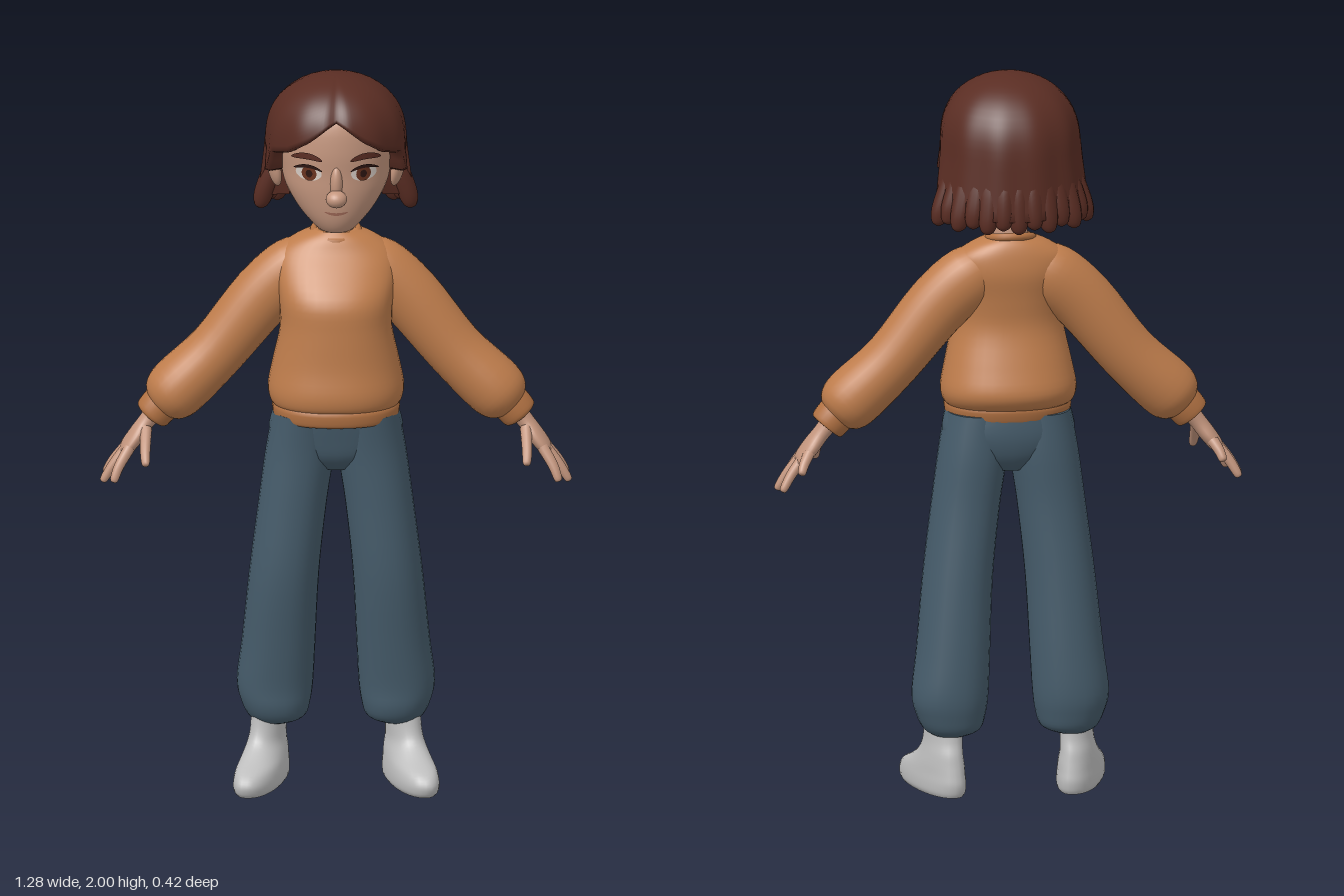
import * as THREE from 'three';

const mat = (name, color) => Object.assign(new THREE.MeshStandardMaterial({ color }), { name });
const M = {
  skin: mat('skin', 0xc4967e), lip: mat('lip', 0xa06a58), hair: mat('hair', 0x5a2d23),
  sweater: mat('sweater', 0xbf7d4c), trim: mat('sweaterTrim', 0xb27243), pants: mat('pants', 0x465c6b),
  shoe: mat('shoe', 0xbebebe), white: mat('eyeWhite', 0xd9cec6), iris: mat('iris', 0x6b3420), dark: mat('lash', 0x2e1612),
};

// Catmull-Rom refinement of a list of number rows
function refine(rows, steps = 4) {
  const out = [];
  for (let i = 0; i < rows.length - 1; i++) {
    const [p, a, b, q] = [rows[Math.max(i - 1, 0)], rows[i], rows[i + 1], rows[Math.min(i + 2, rows.length - 1)]];
    for (let k = 0; k < steps; k++) {
      const t = k / steps;
      out.push(a.map((v, j) => {
        const c1 = b[j] - p[j];
        const c2 = 2 * p[j] - 5 * v + 4 * b[j] - q[j];
        const c3 = 3 * (v - b[j]) + q[j] - p[j];
        return v + 0.5 * t * (c1 + t * (c2 + t * c3));
      }));
    }
  }
  out.push(rows[rows.length - 1]);
  return out;
}

function buildGeometry(pos, idx) {
  const g = new THREE.BufferGeometry();
  g.setAttribute('position', new THREE.Float32BufferAttribute(pos, 3));
  g.setIndex(idx);
  g.computeVertexNormals();
  return g;
}

// Capped loft through sections [x, y, z, radius, depth radius]; level keeps sections horizontal (listed upwards)
function loft(sections, { level = false, sides = 28, power = 2 } = {}) {
  const rows = refine(sections), pos = [], idx = [];
  const centre = (r) => new THREE.Vector3(r[0], r[1], r[2]);
  const bend = (v) => Math.sign(v) * Math.pow(Math.abs(v), 2 / power);
  const rings = rows.map((r, i) => {
    const t = level ? new THREE.Vector3(0, 1, 0)
      : centre(rows[Math.min(i + 1, rows.length - 1)]).sub(centre(rows[Math.max(i - 1, 0)])).normalize();
    const s = new THREE.Vector3(0, 0, 1).addScaledVector(t, -t.z).normalize();
    const n = t.clone().cross(s);
    return Array.from({ length: sides }, (_, j) => {
      const a = (j / sides) * Math.PI * 2;
      return centre(r).addScaledVector(n, bend(Math.cos(a)) * r[3]).addScaledVector(s, bend(Math.sin(a)) * r[4]);
    });
  });
  rings.forEach((ring) => ring.forEach((p) => pos.push(p.x, p.y, p.z)));
  for (let i = 0; i < rings.length - 1; i++) for (let j = 0; j < sides; j++) {
    const a = i * sides + j, b = i * sides + (j + 1) % sides;
    idx.push(a, a + sides, b, b, a + sides, b + sides);
  }
  for (const end of [0, rings.length - 1]) {
    const base = pos.length / 3;
    [...rings[end], centre(rows[end])].forEach((p) => pos.push(p.x, p.y, p.z));
    for (let j = 0; j < sides; j++) {
      const k = (j + 1) % sides;
      idx.push(base + sides, base + (end ? k : j), base + (end ? j : k));
    }
  }
  return buildGeometry(pos, idx);
}

function mirrored(geo) {
  const g = geo.clone().scale(-1, 1, 1), ix = g.index.array;
  for (let i = 0; i < ix.length; i += 3) [ix[i + 1], ix[i + 2]] = [ix[i + 2], ix[i + 1]];
  return g;
}

// Head sections and the height of the face surface, used to lay features on it
const headRows = [
  [0, 1.575, 0.085, 0.02, 0.025], [0, 1.583, 0.085, 0.046, 0.052], [0, 1.61, 0.072, 0.076, 0.083],
  [0, 1.65, 0.052, 0.11, 0.113], [0, 1.7, 0.035, 0.138, 0.135], [0, 1.75, 0.02, 0.15, 0.151],
  [0, 1.82, 0.017, 0.155, 0.157], [0, 1.9, 0.015, 0.14, 0.145], [0, 1.96, 0.01, 0.08, 0.09],
];
const headFine = refine(headRows);
function faceZ(x, y) {
  const i = Math.max(1, headFine.findIndex((r) => r[1] >= y));
  const a = headFine[i - 1], b = headFine[i], t = (y - a[1]) / (b[1] - a[1]);
  const [zc, rx, rz] = [2, 3, 4].map((k) => a[k] + (b[k] - a[k]) * t);
  return zc + rz * Math.sqrt(Math.max(0, 1 - (x / rx) ** 2));
}

// Thin patch wrapped on the face; arch lowers both of its ends
function patch(x, y, w, h, lift, arch = 0) {
  const g = new THREE.RingGeometry(0, 1, 28, 5), p = g.attributes.position;
  for (let i = 0; i < p.count; i++) {
    const u = p.getX(i), px = x + u * w, py = y + p.getY(i) * h - arch * u * u;
    p.setXYZ(i, px, py, faceZ(px, py) + lift);
  }
  g.computeVertexNormals();
  return g;
}

// Hair shell: dome whose hem height depends on the angle from the front
const hem = [[0, 1.91], [8, 1.897], [25, 1.855], [45, 1.818], [66, 1.8], [72, 1.745], [79, 1.735], [84, 1.79], [96, 1.795], [102, 1.645], [180, 1.635]];
function hemY(deg) {
  const i = Math.max(1, hem.findIndex((h) => h[0] >= deg)), [a, b] = [hem[i - 1], hem[i]];
  return a[1] + (b[1] - a[1]) * (deg - a[0]) / (b[0] - a[0]);
}
function hairPoint(angle, y, scale = 1) {
  const s = Math.max(0, (y - 1.8) / 0.2), low = Math.max(0, (1.8 - y) / 0.2);
  const dome = Math.sqrt(Math.max(0, 1 - Math.pow(s, 2.6))), deg = Math.abs(angle) * 180 / Math.PI;
  const notch = 0.06 * Math.exp(-deg * deg / 49);
  const r = dome * scale * (1 - notch + 0.012 * Math.cos(angle * 11) * (1 - s)), c = Math.cos(angle);
  return [Math.sin(angle) * (0.191 + 0.028 * low) * r, y, 0.005 + 0.02 * s + c * (c > 0 ? 0.205 : 0.197 + 0.014 * low) * r];
}
function hairShell() {
  const sides = 120, rows = 20, pos = [], idx = [];
  for (let i = 0; i <= rows + 2; i++) for (let j = 0; j < sides; j++) {
    const a = (j / sides) * Math.PI * 2 - Math.PI, h = hemY(Math.min(180, Math.abs(a) * 180 / Math.PI));
    const v = Math.min(1, i / rows), fold = [1, 0.93, 0.6][Math.max(0, i - rows)];
    pos.push(...hairPoint(a, h + (2 - h) * Math.cos(v * Math.PI / 2) - (i === rows + 1 ? 0.006 : 0), fold));
  }
  for (let i = 0; i < rows + 2; i++) for (let j = 0; j < sides; j++) {
    const a = i * sides + j, b = i * sides + (j + 1) % sides;
    idx.push(a, a + sides, b, b, a + sides, b + sides);
  }
  return buildGeometry(pos, idx);
}

export function createModel() {
  const model = new THREE.Group();
  const add = (name, geo, material) => {
    const m = new THREE.Mesh(geo, material);
    m.name = name;
    model.add(m);
  };
  const pair = (name, geo, material) => {
    add(name + 'Left', geo, material);
    add(name + 'Right', mirrored(geo), material);
  };
  const ball = (x, y, z, rx, ry, rz) => new THREE.SphereGeometry(1, 24, 16).scale(rx, ry, rz).translate(x, y, z);

  // Shoes, toes turned outwards
  const shoe = loft([
    [0.185, 0, 0.062, 0.055, 0.142], [0.185, 0.012, 0.064, 0.062, 0.15], [0.185, 0.035, 0.064, 0.063, 0.153],
    [0.185, 0.06, 0.055, 0.06, 0.14], [0.185, 0.085, 0.028, 0.055, 0.108], [0.185, 0.115, 0.008, 0.048, 0.082],
    [0.182, 0.15, 0.005, 0.045, 0.068], [0.18, 0.2, 0.004, 0.045, 0.062],
  ], { level: true, power: 2.2 });
  const sp = shoe.attributes.position;
  for (let i = 0; i < sp.count; i++) sp.setX(i, sp.getX(i) + sp.getZ(i) * 0.27);
  shoe.computeVertexNormals();
  pair('shoe', shoe, M.shoe);

  // Trousers
  pair('trouserLeg', loft([
    [0.165, 0.165, -0.003, 0.048, 0.056], [0.16, 0.182, -0.003, 0.078, 0.085], [0.163, 0.22, -0.002, 0.094, 0.099],
    [0.165, 0.28, -0.005, 0.104, 0.105], [0.155, 0.4, 0.005, 0.1, 0.11], [0.14, 0.6, 0.025, 0.095, 0.115],
    [0.117, 0.8, 0.034, 0.093, 0.11], [0.096, 0.95, 0.036, 0.094, 0.112], [0.085, 1.06, 0.045, 0.085, 0.115],
  ], { level: true, power: 2.2 }), M.pants);
  add('trouserHips', loft([
    [0, 0.9, 0.035, 0.05, 0.07], [0, 0.94, 0.036, 0.14, 0.102], [0, 1, 0.036, 0.181, 0.117], [0, 1.07, 0.045, 0.168, 0.122],
  ], { level: true, power: 2.2 }), M.pants);

  // Sweater body, hem band and collar
  add('sweaterBody', loft([
    [0, 1.075, 0.05, 0.165, 0.125], [0, 1.092, 0.041, 0.179, 0.149], [0, 1.13, 0.035, 0.185, 0.16],
    [0, 1.2, 0.04, 0.172, 0.145], [0, 1.3, 0.052, 0.152, 0.128], [0, 1.38, 0.046, 0.156, 0.126],
    [0, 1.45, 0.016, 0.166, 0.106], [0, 1.5, -0.002, 0.155, 0.084], [0, 1.535, -0.007, 0.108, 0.069], [0, 1.555, -0.008, 0.06, 0.054],
  ], { level: true, power: 2.2, sides: 40 }), M.sweater);
  add('hemBand', loft([
    [0, 1.038, 0.052, 0.16, 0.122], [0, 1.046, 0.052, 0.169, 0.131], [0, 1.078, 0.05, 0.173, 0.136], [0, 1.09, 0.05, 0.16, 0.12],
  ], { level: true, power: 2.2, sides: 40 }), M.trim);
  add('collar', new THREE.TorusGeometry(0.06, 0.011, 10, 36).rotateX(Math.PI / 2 + 0.25).translate(0, 1.547, -0.005), M.trim);

  // Sleeves and cuffs
  pair('sleeve', loft([
    [0.06, 1.47, -0.008, 0.06, 0.06], [0.11, 1.443, -0.008, 0.086, 0.076], [0.2, 1.363, -0.004, 0.086, 0.078],
    [0.32, 1.215, 0.001, 0.08, 0.08], [0.425, 1.112, 0.01, 0.084, 0.087], [0.462, 1.075, 0.012, 0.072, 0.074], [0.478, 1.059, 0.012, 0.048, 0.05],
  ]), M.sweater);
  pair('cuff', loft([
    [0.462, 1.078, 0.012, 0.046, 0.046], [0.47, 1.068, 0.012, 0.053, 0.053], [0.497, 1.036, 0.013, 0.051, 0.051], [0.502, 1.03, 0.013, 0.042, 0.042],
  ]), M.trim);

  // Hands
  pair('palm', loft([
    [0.485, 1.05, 0.012, 0.026, 0.032], [0.515, 1.012, 0.014, 0.023, 0.032], [0.54, 0.978, 0.018, 0.023, 0.046],
    [0.565, 0.945, 0.02, 0.02, 0.05], [0.576, 0.93, 0.02, 0.012, 0.042],
  ]), M.skin);
  const fingers = {
    thumb: [[0.515, 1.0, 0.04], [0.518, 0.955, 0.09], [0.517, 0.918, 0.124]],
    indexFinger: [[0.56, 0.95, 0.055], [0.588, 0.905, 0.075], [0.605, 0.862, 0.09]],
    middleFinger: [[0.567, 0.945, 0.032], [0.603, 0.9, 0.038], [0.634, 0.85, 0.042]],
    ringFinger: [[0.566, 0.945, 0.006], [0.6, 0.902, -0.007], [0.626, 0.858, -0.02]],
    littleFinger: [[0.553, 0.962, -0.017], [0.568, 0.938, -0.036], [0.578, 0.912, -0.053]],
  };
  for (const [name, [a, b, c]] of Object.entries(fingers)) {
    const near = c.map((v, k) => v + (b[k] - v) * 0.15);
    pair(name, loft([[...a, 0.016, 0.016], [...b, 0.014, 0.014], [...near, 0.011, 0.011], [...c, 0.003, 0.003]], { sides: 12 }), M.skin);
  }

  // Neck, head, ears and nose
  add('neck', loft([[0, 1.5, -0.01, 0.052, 0.048], [0, 1.58, 0, 0.048, 0.043], [0, 1.67, 0.01, 0.055, 0.055]], { level: true }), M.skin);
  add('head', loft(headRows, { level: true, sides: 40 }), M.skin);
  pair('ear', ball(0, 0, 0, 0.016, 0.052, 0.031).rotateY(-0.35).rotateZ(-0.2).translate(0.168, 1.73, 0.012), M.skin);
  add('noseTip', ball(0, 1.692, 0.185, 0.029, 0.024, 0.029), M.skin);
  add('noseBridge', ball(0, 1.73, 0.165, 0.017, 0.05, 0.022), M.skin);
  add('mouth', patch(0, 1.643, 0.032, 0.004, 0.003, -0.006), M.lip);

  // Eyes and brows
  pair('eyeWhite', patch(0.075, 1.757, 0.035, 0.021, 0.003), M.white);
  pair('iris', patch(0.074, 1.757, 0.02, 0.021, 0.005), M.iris);
  pair('pupil', patch(0.074, 1.757, 0.009, 0.011, 0.007), M.dark);
  pair('upperLash', patch(0.077, 1.778, 0.039, 0.005, 0.007, 0.012), M.dark);
  pair('brow', patch(0.08, 1.806, 0.042, 0.009, 0.006, 0.01), M.hair);

  // Hair shell with rounded locks around the back
  add('hair', hairShell(), M.hair);
  for (let i = 0; i < 13; i++) {
    const a = (106 + i * (148 / 12)) * Math.PI / 180, edge = Math.abs(i - 6) / 6;
    const angle = a > Math.PI ? a - Math.PI * 2 : a, tip = 1.598 + 0.012 * (i % 2);
    const at = (y, scale, r) => [...hairPoint(angle, y, scale), r, r];
    add('hairLock', loft([
      at(tip, 0.9 + 0.06 * edge, 0.006), at(tip + 0.012, 0.9 + 0.06 * edge, 0.02), at(tip + 0.05, 0.88 + 0.06 * edge, 0.029),
      at(1.72, 0.86, 0.03), at(1.8, 0.8, 0.02),
    ], { level: true, sides: 14 }), M.hair);
  }
  return model;
}
